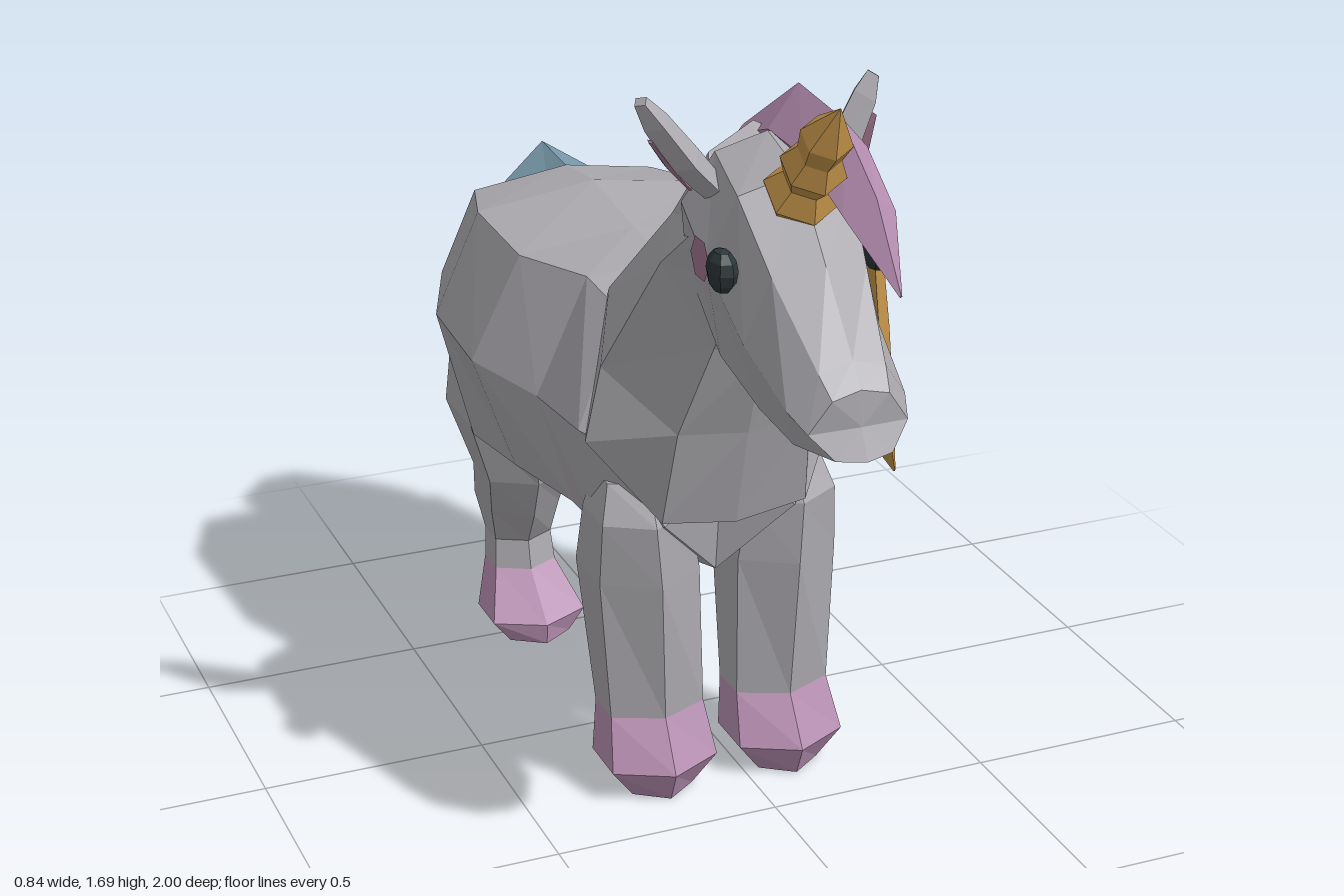
import * as THREE from 'three';

const mat = (name, color) => {
  const m = new THREE.MeshStandardMaterial({ color, flatShading: true });
  m.name = name;
  return m;
};

// Skin a list of equal-length rings, close both ends, and face the result outward.
function loft(rings) {
  const n = rings[0].length, tris = [];
  const tri = (a, b, c) => tris.push([a, b, c]);
  for (let i = 0; i < rings.length - 1; i++) {
    for (let j = 0; j < n; j++) {
      const k = (j + 1) % n, A = rings[i], B = rings[i + 1];
      tri(A[j], A[k], B[k]);
      tri(A[j], B[k], B[j]);
    }
  }
  const cap = (ring, flip) => {
    const c = ring.reduce((s, p) => s.add(p), new THREE.Vector3()).divideScalar(n);
    for (let j = 0; j < n; j++) {
      const a = ring[j], b = ring[(j + 1) % n];
      flip ? tri(c, b, a) : tri(c, a, b);
    }
  };
  cap(rings[0], true);
  cap(rings[rings.length - 1], false);
  const volume = tris.reduce((s, [a, b, c]) => s + a.dot(b.clone().cross(c)), 0);
  const pos = [];
  for (const [a, b, c] of tris) {
    for (const p of volume < 0 ? [a, c, b] : [a, b, c]) pos.push(p.x, p.y, p.z);
  }
  const g = new THREE.BufferGeometry();
  g.setAttribute('position', new THREE.Float32BufferAttribute(pos, 3));
  g.computeVertexNormals();
  return g;
}

// Full ring from half an outline [x, y, z] running from the top midline to the bottom one.
function mirrorRing(half) {
  const v = half.map(p => new THREE.Vector3(...p));
  const other = v.slice(1, -1).reverse().map(p => new THREE.Vector3(-p.x, p.y, p.z));
  return [...v, ...other];
}

// Leg rings given as [y, z, halfDepth, x, halfWidth], six-sided.
function legGeometry(rings, side) {
  return loft(rings.map(([y, z, hz, x, hx]) => Array.from({ length: 6 }, (_, i) => {
    const a = i * Math.PI / 3;
    return new THREE.Vector3(side * x + hx * Math.sin(a) / 0.866, y, z + hz * Math.cos(a));
  })));
}

// Tapered diamond-section strand along [x, y, z, halfWidth, halfThickness].
function strand(path, axis) {
  const pts = path.map(p => new THREE.Vector3(p[0], p[1], p[2]));
  return loft(path.map((p, i) => {
    const t = pts[Math.min(i + 1, pts.length - 1)].clone().sub(pts[Math.max(i - 1, 0)]);
    const nrm = t.cross(axis).normalize();
    return [[1, 0], [0, 1], [-1, 0], [0, -1]].map(([w, h]) =>
      pts[i].clone().addScaledVector(axis, w * p[3]).addScaledVector(nrm, h * p[4]));
  }));
}

export function createModel() {
  const root = new THREE.Group();
  root.name = 'unicorn';
  const coat = mat('grey coat', 0xaaa8ad), pink = mat('pink', 0xb58db0);
  const gold = mat('gold', 0xc4954a), blue = mat('blue', 0x7797a8);
  const dark = mat('eye black', 0x2c3638), blush = mat('blush', 0xa0748c);
  const X = new THREE.Vector3(1, 0, 0), Z = new THREE.Vector3(0, 0, 1);

  // The animal's midline sits a little to one side to balance the mane.
  const animal = new THREE.Group();
  animal.name = 'animal';
  animal.position.x = -0.045;
  root.add(animal);
  const add = (parent, name, geometry, material) => {
    const m = new THREE.Mesh(geometry, material);
    m.name = name;
    parent.add(m);
    return m;
  };

  // Trunk, from chest to rump
  add(animal, 'trunk', loft([
    [[0, .9, .3], [.14, .88, .3], [.25, .82, .28], [.15, .64, .35], [0, .48, .27]],
    [[0, 1.06, .12], [.16, 1.05, .12], [.29, .83, .21], [.25, .6, .2], [0, .48, .18]],
    [[0, 1.09, -.02], [.18, 1.08, -.02], [.3, .82, -.02], [.24, .58, .03], [0, .48, .06]],
    [[0, 1.11, -.2], [.27, 1.08, -.2], [.38, .84, -.22], [.29, .58, -.2], [0, .5, -.2]],
    [[0, 1.14, -.45], [.28, 1.1, -.45], [.38, .86, -.47], [.315, .57, -.42], [0, .52, -.34]],
    [[0, 1.12, -.63], [.22, 1.08, -.65], [.29, .87, -.7], [.25, .6, -.66], [0, .56, -.6]],
    [[0, 1.03, -.7], [.11, 1, -.72], [.18, .86, -.75], [.15, .66, -.72], [0, .62, -.69]],
  ].map(mirrorRing)), coat);

  // Neck, from poll down into the chest
  add(animal, 'neck', loft([
    [[0, 1.55, .45], [.1, 1.5, .46], [.13, 1.38, .52], [.08, 1.25, .57], [0, 1.2, .57]],
    [[0, 1.33, .25], [.1, 1.31, .27], [.17, 1.25, .38], [.1, 1.09, .49], [0, 1.07, .51]],
    [[0, 1.1, .04], [.16, 1.08, .06], [.25, .98, .24], [.15, .88, .42], [0, .87, .44]],
    [[0, .9, -.05], [.18, .88, 0], [.29, .82, .25], [.165, .66, .37], [0, .64, .38]],
  ].map(mirrorRing)), coat);

  // Head, from muzzle to poll
  add(animal, 'head', loft([
    [[0, 1.17, .965], [.06, 1.155, .965], [.105, 1.09, .955], [.06, 1.04, .985], [0, 1.035, 1]],
    [[0, 1.215, .925], [.07, 1.195, .925], [.125, 1.12, .9], [.1, 1.04, .88], [0, 1.015, .9]],
    [[0, 1.36, .8], [.1, 1.34, .77], [.145, 1.2, .74], [.1, 1.05, .72], [0, 1.02, .7]],
    [[0, 1.51, .67], [.12, 1.47, .65], [.165, 1.32, .6], [.12, 1.11, .57], [0, 1.08, .55]],
    [[0, 1.55, .52], [.1, 1.51, .49], [.155, 1.4, .45], [.13, 1.25, .42], [0, 1.2, .42]],
  ].map(mirrorRing)), coat);

  const frontLeg = [[.72, .22, .08, .165, .08], [.64, .235, .12, .17, .1], [.5, .215, .145, .16, .115],
    [.18, .25, .095, .148, .108]];
  const frontHoof = [[.18, .25, .095, .148, .108], [.07, .285, .125, .15, .122], [0, .28, .1, .15, .07]];
  const hindLeg = [[.82, -.53, .12, .2, .1], [.58, -.53, .185, .19, .125], [.43, -.505, .12, .17, .1],
    [.32, -.575, .125, .16, .085], [.22, -.6, .075, .15, .07], [.15, -.59, .08, .15, .075]];
  const hindHoof = [[.15, -.59, .08, .15, .075], [.05, -.515, .115, .15, .115], [0, -.505, .1, .15, .075]];

  for (const s of [1, -1]) {
    const named = part => (s > 0 ? 'left' : 'right') + part;
    // Legs and hooves
    add(animal, named('FrontLeg'), legGeometry(frontLeg, s), coat);
    add(animal, named('FrontHoof'), legGeometry(frontHoof, s), pink);
    add(animal, named('HindLeg'), legGeometry(hindLeg, s), coat);
    add(animal, named('HindHoof'), legGeometry(hindHoof, s), pink);

    // Ears with a thin coloured lining
    add(animal, named('Ear'), strand([[s * .1, 1.43, .52, .04, .025], [s * .175, 1.51, .515, .06, .035],
      [s * .225, 1.585, .49, .05, .028], [s * .25, 1.625, .475, .025, .015]], Z), coat);
    add(animal, named('EarLining'), strand([[s * .165, 1.45, .52, .01, .004], [s * .205, 1.495, .515, .04, .004],
      [s * .24, 1.55, .5, .015, .004]], Z), blush);

    // Eyes and cheeks
    const eye = add(animal, named('Eye'), new THREE.SphereGeometry(.046, 7, 6), dark);
    eye.scale.x = .65;
    eye.position.set(s * .165, 1.335, .68);
    const cheek = add(animal, named('Cheek'), new THREE.CircleGeometry(.047, 6), blush);
    cheek.rotation.y = s * Math.PI / 2;
    cheek.position.set(s * .168, 1.325, .578);
  }

  // Ridged horn
  const hornProfile = [[0, 0], [.05, 0], [.078, .055], [.05, .1], [.068, .14], [.045, .185],
    [.053, .235], [0, .33]].map(p => new THREE.Vector2(...p));
  const horn = add(animal, 'horn', new THREE.LatheGeometry(hornProfile, 6), gold);
  horn.position.set(0, 1.43, .65);
  horn.rotation.x = Math.atan2(.2, .26);

  // Forelock
  add(root, 'forelock', strand([[-.03, 1.5, .37, .015, .015], [.035, 1.545, .5, .07, .085],
    [.035, 1.54, .66, .07, .08], [.05, 1.45, .79, .055, .05], [.04, 1.34, .95, .003, .003]], X), pink);

  // Mane locks falling over the left side
  add(root, 'frontManeLock', strand([[-.045, 1.42, .36, .09, .02], [.11, 1.43, .39, .11, .08],
    [.19, 1.29, .4, .125, .075], [.21, 1.04, .43, .1, .07], [.25, .86, .43, .065, .045],
    [.3, .72, .43, .003, .003]], Z), gold);
  add(root, 'middleManeLock', strand([[-.045, 1.24, .21, .07, .02], [.13, 1.29, .25, .09, .08],
    [.235, 1.16, .265, .105, .07], [.26, .95, .275, .085, .055], [.32, .78, .265, .06, .035],
    [.385, .65, .25, .003, .003]], Z), pink);
  add(root, 'rearManeLock', strand([[-.045, 1.08, .09, .055, .02], [.13, 1.14, .125, .07, .08],
    [.23, 1.03, .12, .09, .065], [.29, .88, .11, .075, .05], [.36, .75, .085, .045, .028],
    [.415, .66, .065, .003, .003]], Z), blue);

  // Tail
  add(root, 'tail', strand([[-.045, 1.08, -.62, .05, .04], [-.035, 1.04, -.76, .13, .1],
    [-.03, .91, -.84, .145, .11], [-.03, .72, -.875, .14, .125], [-.03, .45, -.855, .11, .12],
    [-.03, .15, -.92, .003, .003]], X), blue);

  return root;
}
